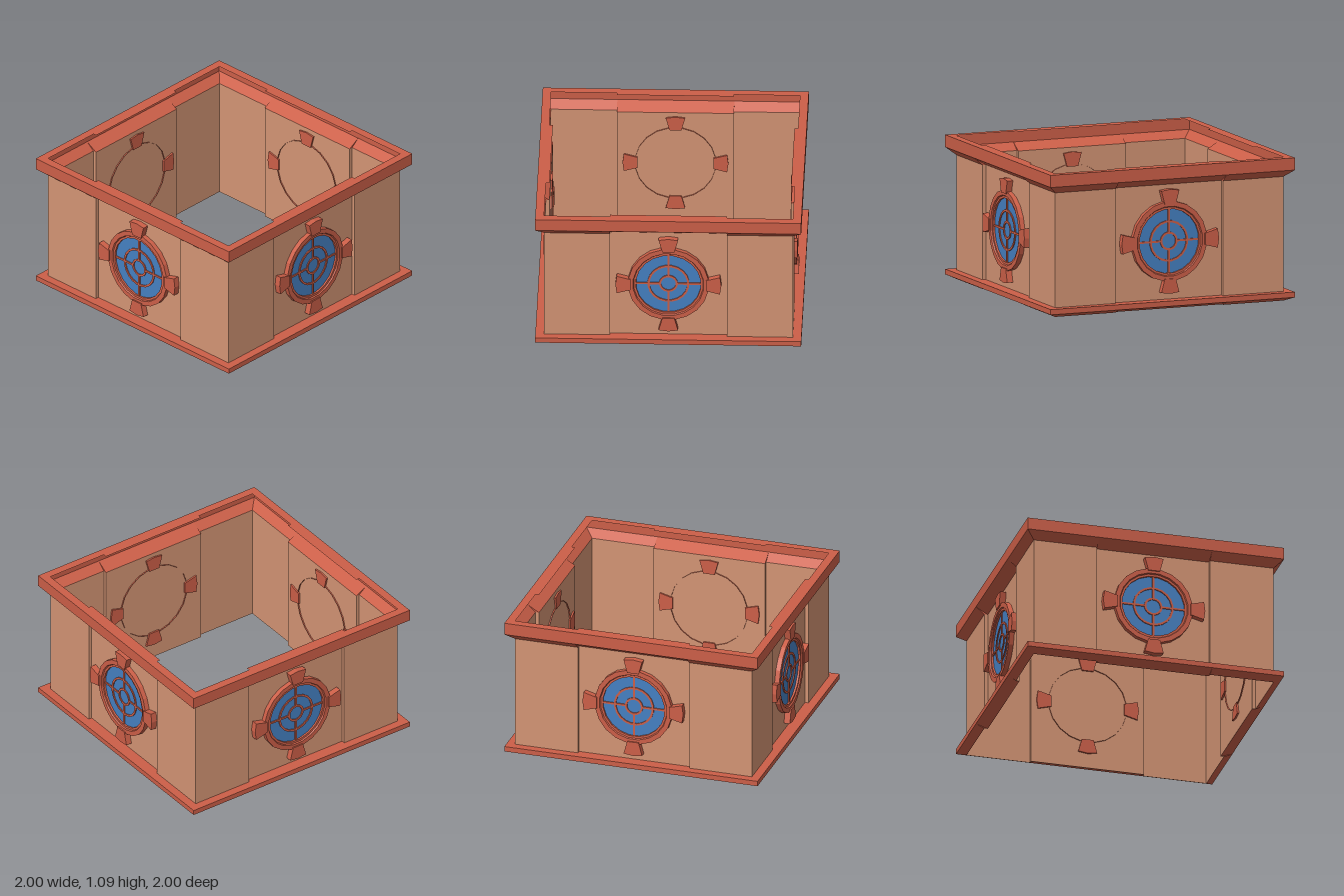
import * as THREE from 'three';

const paint = (color) => new THREE.MeshStandardMaterial({ color, flatShading: true, side: THREE.DoubleSide });
const clay = paint(0xd39474), red = paint(0xcc5f48), blue = paint(0x4580c2);

const OUT = 1, WALL = 0.935, RECESS = 0.908, HALF = 0.44, CENTER_Y = 0.515, SIDES = 20;
const PHASE = Math.PI / SIDES;

// Plan outlines of one side, running left to right: [x, z]
const wallLine = [[-WALL, WALL], [-HALF, WALL], [-HALF, RECESS], [HALF, RECESS], [HALF, WALL], [WALL, WALL]];
const outerLine = [[-OUT, OUT], [-HALF, OUT], [-HALF, OUT], [HALF, OUT], [HALF, OUT], [OUT, OUT]];

// Strip surface through a list of rows; each row is [plan outline, height]
function strip(rows) {
  const pos = [];
  const point = ([line, y], i) => [line[i][0], y, line[i][1]];
  for (let r = 0; r < rows.length - 1; r++) {
    for (let i = 0; i < wallLine.length - 1; i++) {
      const a = point(rows[r], i), b = point(rows[r], i + 1);
      const c = point(rows[r + 1], i + 1), d = point(rows[r + 1], i);
      pos.push(...a, ...b, ...c, ...a, ...c, ...d);
    }
  }
  const g = new THREE.BufferGeometry();
  g.setAttribute('position', new THREE.Float32BufferAttribute(pos, 3));
  g.computeVertexNormals();
  return g;
}

function add(parent, name, geometry, material) {
  const mesh = new THREE.Mesh(geometry, material);
  mesh.name = name;
  parent.add(mesh);
  return mesh;
}

// Turned ring facing +z; the profile is a list of [radius, z]
function turned(profile) {
  const g = new THREE.LatheGeometry(profile.map(([r, z]) => new THREE.Vector2(r, z)), SIDES, PHASE);
  return g.rotateX(Math.PI / 2);
}

function createWindow() {
  const win = new THREE.Group();
  win.name = 'roundWindow';
  win.position.y = CENTER_Y;

  // Stepped frame, open at the back
  add(win, 'windowFrame', turned([[0.305, 0.898], [0.305, 0.945], [0.268, 0.945],
    [0.262, 0.935], [0.245, 0.935], [0.245, 0.918]]), red);
  add(win, 'glass', new THREE.CircleGeometry(0.25, SIDES, PHASE), blue).position.z = 0.92;

  // Round and straight glazing bars
  for (const r of [0.063, 0.15]) {
    add(win, 'roundBar', turned([[r + 0.008, 0.918], [r + 0.008, 0.928],
      [r - 0.008, 0.928], [r - 0.008, 0.918]]), red);
  }
  // Flared keystones around the frame, passing through the wall
  const shape = new THREE.Shape([[-0.045, 0.285], [0.045, 0.285], [0.073, 0.388], [0, 0.398], [-0.073, 0.388]]
    .map(([x, y]) => new THREE.Vector2(x, y)));
  const keystone = new THREE.ExtrudeGeometry(shape, { depth: 0.06, bevelEnabled: false });
  keystone.translate(0, 0, 0.895);
  const bar = new THREE.BoxGeometry(0.015, 0.18, 0.01).translate(0, 0.157, 0.923);
  for (let i = 0; i < 4; i++) {
    add(win, 'keystone', keystone, red).rotation.z = i * Math.PI / 2;
    add(win, 'straightBar', bar, red).rotation.z = i * Math.PI / 2;
  }
  return win;
}

export function createModel() {
  const model = new THREE.Group();
  model.name = 'storeyWithRoundWindows';

  const wall = strip([[wallLine, 0], [wallLine, 0.945]]);
  // Hollow cornice: sloped underside, upright band, flat top
  const cornice = strip([[wallLine, 0.945], [outerLine, 1], [outerLine, 1.093], [wallLine, 1.093]]);
  // Base moulding: sloped underside, upright band, flat ledge
  const base = strip([[wallLine, 0], [outerLine, 0.03], [outerLine, 0.07], [wallLine, 0.07]]);

  for (let i = 0; i < 4; i++) {
    const side = new THREE.Group();
    side.name = ['frontSide', 'leftSide', 'backSide', 'rightSide'][i];
    side.rotation.y = i * Math.PI / 2;
    add(side, 'wall', wall, clay);
    add(side, 'cornice', cornice, red);
    add(side, 'baseMoulding', base, red);
    side.add(createWindow());
    model.add(side);
  }
  return model;
}
